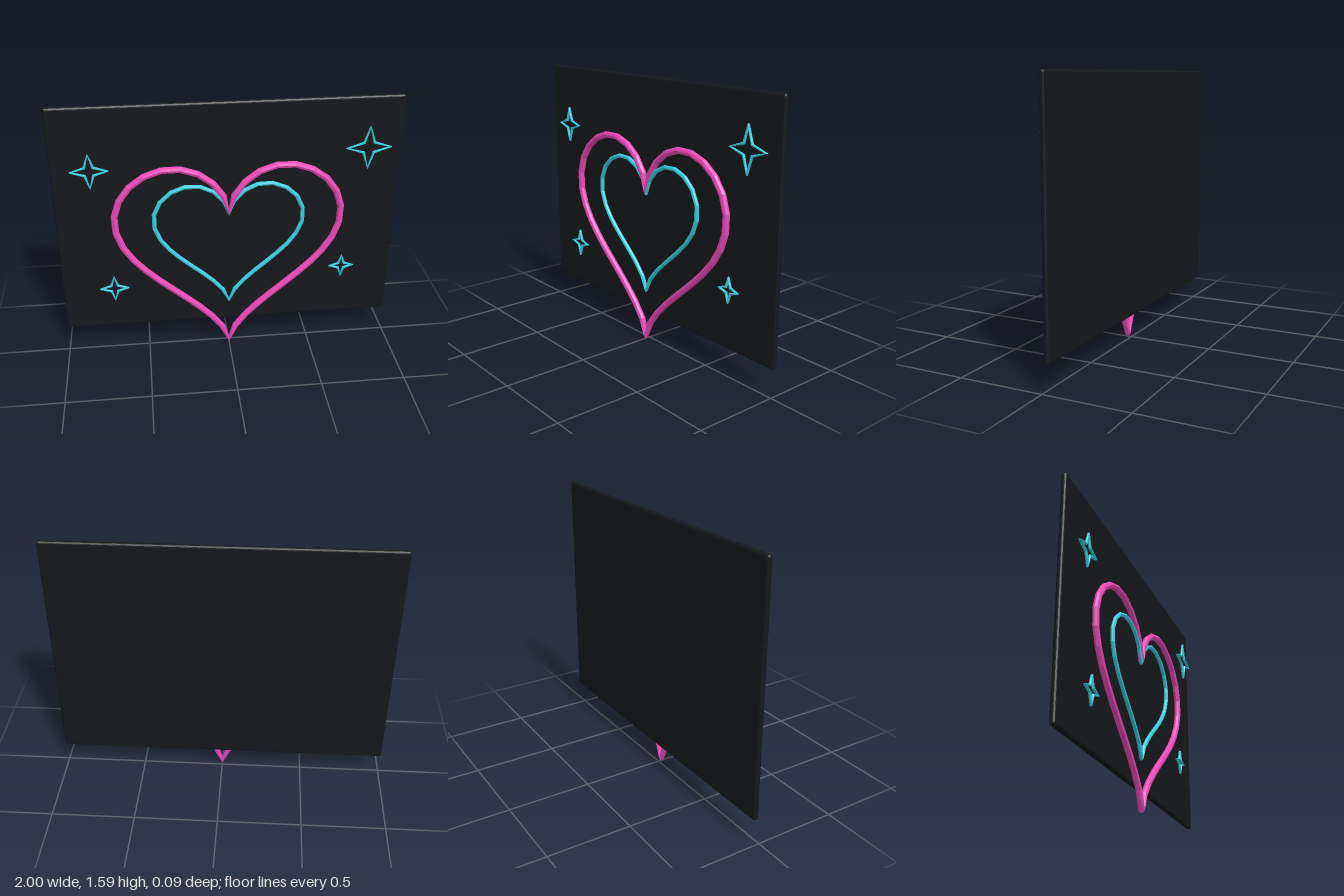
import * as THREE from 'three';
import { RoundedBoxGeometry } from 'three/addons/geometries/RoundedBoxGeometry.js';

const paint = (color) => new THREE.MeshStandardMaterial({ color, flatShading: true });
const pink = paint(0xec48b8);
const cyan = paint(0x38cfe0);
const black = paint(0x15171b);

const NEON_Z = 0.025;

// Sweeps a round section along a closed, counter-clockwise loop of flat points.
// Each ring lies across the line between its neighbours, so sharp tips pinch.
function neonTube(points, radius, sides, material, name) {
  const n = points.length;
  const positions = [];
  const index = [];
  for (let i = 0; i < n; i++) {
    const p = points[i];
    const next = points[(i + 1) % n];
    const prev = points[(i + n - 1) % n];
    const dx = next.x - prev.x;
    const dy = next.y - prev.y;
    const len = Math.hypot(dx, dy);
    for (let j = 0; j < sides; j++) {
      const a = (j / sides) * Math.PI * 2;
      const out = (Math.cos(a) * radius) / len;
      positions.push(p.x + dy * out, p.y - dx * out, Math.sin(a) * radius);

      const i2 = (i + 1) % n;
      const j2 = (j + 1) % sides;
      const [A, B, C, D] = [i * sides + j, i2 * sides + j, i2 * sides + j2, i * sides + j2];
      index.push(A, B, C, A, C, D);
    }
  }
  const geometry = new THREE.BufferGeometry();
  geometry.setAttribute('position', new THREE.Float32BufferAttribute(positions, 3));
  geometry.setIndex(index);
  geometry.computeVertexNormals();
  const mesh = new THREE.Mesh(geometry, material);
  mesh.name = name;
  return mesh;
}

// Heart outline with a notch at the top and a point at the bottom
class HeartCurve extends THREE.Curve {
  getPoint(u, target = new THREE.Vector2()) {
    const t = u * Math.PI * 2;
    return target.set(
      -16 * Math.sin(t) ** 3,
      13 * Math.cos(t) - 5 * Math.cos(2 * t) - 2 * Math.cos(3 * t) - Math.cos(4 * t)
    );
  }
}

function heart(name, scale, y, radius, segments, material) {
  const curve = new HeartCurve();
  curve.arcLengthDivisions = 800;
  const points = curve.getSpacedPoints(segments).slice(0, segments);
  points.forEach((p) => p.multiplyScalar(scale));
  const mesh = neonTube(points, radius, 8, material, name);
  mesh.position.set(0, y, NEON_Z);
  return mesh;
}

// Four-pointed sparkle outline
function sparkle(name, x, y, size) {
  const points = [];
  for (let i = 0; i < 8; i++) {
    const a = (i / 8) * Math.PI * 2;
    const r = i % 2 ? size * 0.33 : size;
    points.push(new THREE.Vector2(Math.cos(a) * r, Math.sin(a) * r));
  }
  const mesh = neonTube(points, 0.009, 6, cyan, name);
  mesh.position.set(x, y, NEON_Z);
  return mesh;
}

export function createModel() {
  const model = new THREE.Group();
  model.name = 'neonHeartSign';

  // Backing board
  const board = new THREE.Mesh(new RoundedBoxGeometry(2, 1.44, 0.033, 3, 0.014), black);
  board.name = 'backBoard';
  board.position.set(0, 0.875, -0.026);
  model.add(board);

  // Hearts
  model.add(heart('outerHeart', 0.0415, 0.727, 0.02, 40, pink));
  model.add(heart('innerHeart', 0.0274, 0.783, 0.013, 32, cyan));

  // Sparkles
  model.add(sparkle('sparkleUpperLeft', 0.8, 1.3, 0.126));
  model.add(sparkle('sparkleUpperRight', -0.78, 1.23, 0.103));
  model.add(sparkle('sparkleLowerLeft', 0.69, 0.52, 0.07));
  model.add(sparkle('sparkleLowerRight', -0.69, 0.45, 0.081));

  return model;
}
